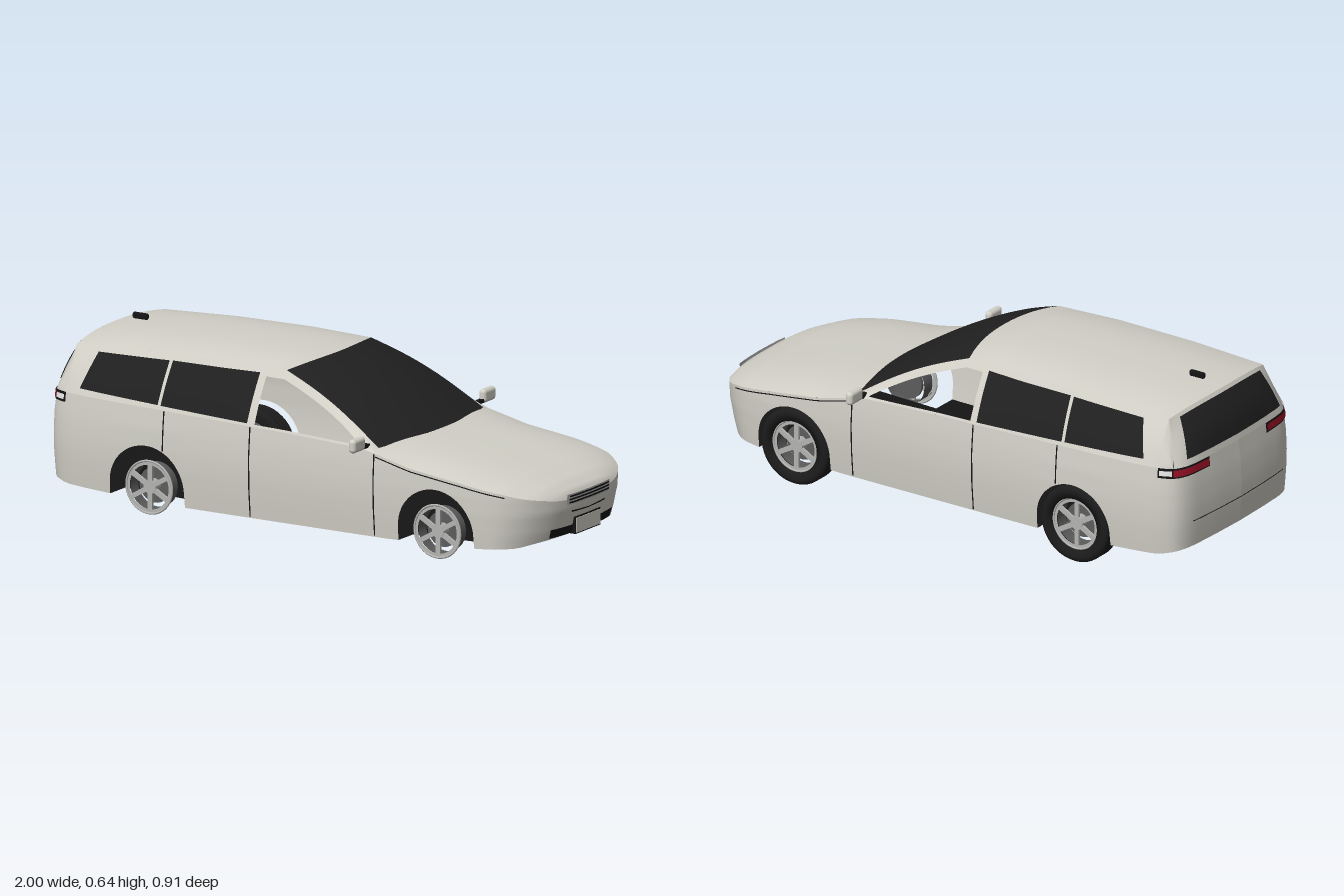
import * as THREE from 'three';
import { RoundedBoxGeometry } from 'three/addons/geometries/RoundedBoxGeometry.js';

const mat = (name, color) => new THREE.MeshStandardMaterial({ name, color, side: THREE.DoubleSide });

// piecewise-linear lookup in rows sorted by their first column
function tab(rows, x, c = 1) {
  if (x <= rows[0][0]) return rows[0][c];
  for (let i = 1; i < rows.length; i++) {
    const [p, q] = [rows[i - 1], rows[i]];
    if (x <= q[0]) return p[c] + (q[c] - p[c]) * (x - p[0]) / (q[0] - p[0]);
  }
  return rows[rows.length - 1][c];
}
const lerp = THREE.MathUtils.lerp;

// half plan outline from nose centre to tail centre
const outline = new THREE.CatmullRomCurve3([
  [.99, 0], [.984, .12], [.965, .21], [.92, .29], [.85, .345], [.75, .37], [.5, .376], [0, .379], [-.5, .379],
  [-.8, .374], [-.9, .362], [-.955, .335], [-.98, .29], [-.993, .18], [-1, 0],
].map(([x, z]) => new THREE.Vector3(x, 0, z)));
outline.arcLengthDivisions = 800;

const BELT = [[-1, .43], [-.955, .43], [-.5, .42], [0, .408], [.3, .395], [.36, .383], [.5, .35], [.7, .325], [.85, .3], [.95, .27], [.99, .25]];
const CROWN = [[.3, .41], [.36, .41], [.5, .385], [.7, .355], [.85, .327], [.93, .303], [.97, .28], [.99, .25]];
const SILL = [[-1, .13], [-.9, .11], [-.7, .1], [-.4, .09], [.4, .09], [.75, .1], [.9, .105], [.99, .125]];
const INSET = [[.09, .012], [.15, .006], [.22, .001], [.28, 0], [.35, .003], [.43, .012]];
const AXLES = [.6, -.56], ARCH = .15, HUB = .14;

// point on the lower body wall, pushed out by off
function wall(u, y, off = 0) {
  const p = outline.getPointAt(u), t = outline.getTangentAt(u);
  const d = off - tab(INSET, y) * (1 + 2 * THREE.MathUtils.smoothstep(p.x, .8, .98));
  const z = u <= 0 || u >= 1 ? 0 : Math.max(0, p.z - t.x * d);
  return [p.x + t.z * d, y, z];
}
function find(g, a, b) {
  for (let i = 0; i < 30; i++) { const m = (a + b) / 2; if (g(m) < 0) a = m; else b = m; }
  return (a + b) / 2;
}
const uAt = x => find(u => x - outline.getPointAt(u).x, 0, 1);
const uNose = z => find(u => outline.getPointAt(u).z - z, 0, .15);
const uTail = z => find(u => z - outline.getPointAt(u).z, .85, 1);
const xAt = u => outline.getPointAt(u).x;
const inArch = x => AXLES.find(c => Math.abs(x - c) <= ARCH + 1e-4);
function lower(x) {
  const c = inArch(x);
  return c === undefined ? tab(SILL, x) : HUB + Math.sqrt(Math.max(0, ARCH * ARCH - (x - c) ** 2));
}

export function createModel() {
  const car = new THREE.Group();
  car.name = 'car';
  const paint = mat('body paint', 0xd2d0c7), glass = mat('dark glass', 0x202020), black = mat('black trim', 0x141414);
  const rubber = mat('tyre rubber', 0x1c1c1c), alloy = mat('alloy', 0xb4b4b2), steel = mat('brake steel', 0x5c5c5c);
  const red = mat('tail lamp red', 0x9c1226), white = mat('lamp white', 0xeeeeee);

  const add = (name, geo, m, x = 0, y = 0, z = 0, parent = car) => {
    const mesh = new THREE.Mesh(geo, m);
    mesh.name = name;
    mesh.position.set(x, y, z);
    parent.add(mesh);
    return mesh;
  };
  // smooth sheet from a rule of two parameters
  function sheet(name, m, nu, nv, fn) {
    const pos = [], idx = [];
    for (let i = 0; i <= nu; i++) for (let j = 0; j <= nv; j++) pos.push(...fn(i / nu, j / nv));
    for (let i = 0; i < nu; i++) for (let j = 0; j < nv; j++) {
      const a = i * (nv + 1) + j, b = a + nv + 1;
      idx.push(a, a + 1, b, b, a + 1, b + 1);
    }
    const g = new THREE.BufferGeometry();
    g.setAttribute('position', new THREE.Float32BufferAttribute(pos, 3));
    g.setIndex(idx);
    g.computeVertexNormals();
    return add(name, g, m);
  }
  const pair = (name, m, nu, nv, fn) => [['left', -1], ['right', 1]].forEach(([side, s]) =>
    sheet(name + ' ' + side, m, nu, nv, (a, b) => { const p = fn(a, b); return [p[0], p[1], p[2] * s]; }));
  const patch = (name, m, u0, u1, lo, hi, off = .003, n = 16) => pair(name, m, n, 3, (a, b) => {
    const u = lerp(u0, u1, a), x = xAt(u);
    return wall(u, lerp(lo(x), hi(x), b), off);
  });

  // lower body wall with wheel arches
  const us = Array.from({ length: 111 }, (_, i) => i / 110);
  for (const c of AXLES) {
    for (let k = 0; k <= 28; k++) us.push(uAt(c + ARCH * Math.cos(Math.PI * k / 28)));
    us.push(uAt(c + ARCH + .001), uAt(c - ARCH - .001));
  }
  us.sort((a, b) => a - b);
  const N = us.length - 1;
  pair('body side', paint, N, 12, (a, b) => {
    const u = us[Math.round(a * N)], x = xAt(u);
    return wall(u, lerp(lower(x), tab(BELT, x), b));
  });

  // floor, narrowed between the wheels
  sheet('floor', black, N, 2, (a, b) => {
    const u = us[Math.round(a * N)], x = xAt(u), p = wall(u, tab(SILL, x));
    return [p[0], p[1], (inArch(x) === undefined ? p[2] : .27) * (b * 2 - 1)];
  });
  add('under tray', new THREE.BoxGeometry(.8, .008, .42), black, .02, .088, 0);

  // hood
  const uHood = uAt(.3);
  sheet('hood', paint, 50, 28, (a, b) => {
    const u = uHood * a, t = b * 2 - 1, x = xAt(u), p = wall(u, tab(BELT, x));
    return [p[0], p[1] + (tab(CROWN, x) - p[1]) * (1 - Math.abs(t) ** 3.5), p[2] * t];
  });

  // upper edge of the cabin side: x, y, z
  const uC = uAt(-.955), C = wall(uC, tab(BELT, -.955));
  const pillar = s => [-.06 + .41 * s, .6 - .205 * s + .02 * Math.sin(Math.PI * s), .27 + .065 * s];
  const EDGE = [C, [-.895, .585, .282], [-.6, .599, .284], [-.3, .603, .283],
    ...Array.from({ length: 13 }, (_, i) => pillar(i / 12))];
  const cabin = (x, y, off = 0) => {
    const base = wall(uAt(x), tab(BELT, x)), top = tab(EDGE, x);
    const f = THREE.MathUtils.clamp((y - base[1]) / Math.max(.001, top - base[1]), 0, 1);
    return [x, y, lerp(base[2], tab(EDGE, x, 2), f) + .006 * Math.sin(Math.PI * f) + off];
  };
  const belt = x => tab(BELT, x), edge = x => tab(EDGE, x);
  const winLow = x => belt(x) + .008, winTop = x => Math.max(winLow(x), Math.min(.582, edge(x) - .028));
  const side = (name, x0, x1, lo, hi, n) => pair(name, paint, n, 8, (a, b) => {
    const x = lerp(x0, x1, a);
    return cabin(x, lerp(lo(x), hi(x), b));
  });
  side('cabin side rear', C[0], -.895, belt, edge, 6);
  side('cabin side', -.895, -.13, belt, edge, 30);
  side('front window sill', -.13, .29, belt, winLow, 24);
  side('front pillar', -.13, .29, winTop, edge, 36);
  side('pillar foot', .29, .35, belt, edge, 6);

  // side windows, corners: bottom rear, bottom front, top rear, top front
  const panes = { 'rear door window': [[-.508, .435], [-.158, .421], [-.5, .581], [-.155, .584]],
    'quarter window': [[-.84, .45], [-.52, .436], [-.8, .572], [-.513, .58]] };
  for (const [name, [a, b, c, d]] of Object.entries(panes)) pair(name, glass, 14, 8, (u, v) =>
    cabin(lerp(lerp(a[0], b[0], u), lerp(c[0], d[0], u), v), lerp(lerp(a[1], b[1], u), lerp(c[1], d[1], u), v), .004));

  // roof
  const RIDGE = [[0, .604], [.06, .612], [.22, .623], [.65, .633], [.9, .63], [1, .617]];
  const roof = (s, t) => {
    const xe = lerp(-.895, -.06, s), ye = edge(xe);
    const x = lerp(-.915 + .02 * t * t, -.015 - .045 * t * t, s);
    return [x, ye + (tab(RIDGE, s) - ye) * (1 - Math.abs(t) ** 2.6), t * tab(EDGE, xe, 2)];
  };
  sheet('roof', paint, 40, 28, (a, b) => roof(a, b * 2 - 1));

  // windscreen
  sheet('windscreen', glass, 20, 24, (a, b) => {
    const t = b * 2 - 1, p = roof(1, t), bulge = .02 * Math.sin(Math.PI * a);
    return [lerp(p[0], .4 - .05 * t * t, a), lerp(p[1], .404 - .009 * t * t, a) + bulge, lerp(p[2], .335 * t, a)];
  });

  // upper tailgate and rear window
  const tail = (s, t, off = 0) => {
    const q = wall(lerp(1, uC, Math.abs(t)), .43), p = roof(0, t), k = .012 * Math.sin(Math.PI * s) * (1 - t ** 4) + off;
    return [lerp(q[0], p[0], s) - k, lerp(q[1], p[1], s) + k * .4, lerp(q[2] * Math.sign(t), p[2], s)];
  };
  sheet('upper tailgate', paint, 12, 24, (a, b) => tail(a, b * 2 - 1));
  sheet('rear window', glass, 10, 20, (a, b) => tail(lerp(.12, .93, a), (b * 2 - 1) * .84, .004));

  // tail lamps
  const y = v => () => v;
  patch('tail lamp frame', black, uAt(-.9), uTail(.17), y(.394), y(.429), .002);
  patch('tail lamp', red, uAt(-.952), uTail(.175), y(.4), y(.424), .005);
  patch('tail lamp tip', white, uAt(-.906), uAt(-.948), y(.403), y(.421), .005);

  // panel seams
  for (const [x, lo, hi] of [[-.492, .28, .42], [-.145, .095, .41], [.355, .095, .382]])
    patch('door seam', black, uAt(x + .0025), uAt(x - .0025), y(lo), y(hi), .002, 1);
  patch('hood seam', black, uAt(.86), uAt(.36), x => belt(x) - .012, x => belt(x) - .008, .002, 24);
  patch('rear bumper seam', black, uTail(.27), 1, y(.222), y(.225), .002);

  // nose details
  patch('grille surround', alloy, 0, uNose(.135), y(.234), y(.272), .003);
  for (const h of [.243, .254, .265]) patch('grille slot', black, 0, uNose(.125), y(h - .003), y(h + .003), .006);
  patch('grille chin', black, 0, uNose(.105), x => lerp(.216, .202, (x - .975) / .015), x => lerp(.229, .206, (x - .975) / .015), .003);
  patch('lower intake', black, 0, uNose(.2), y(.126), y(.157), .003);
  add('plate frame', new THREE.BoxGeometry(.03, .06, .16), black, .968, .153, 0);
  add('number plate', new THREE.BoxGeometry(.008, .052, .152), paint, .981, .153, 0);

  // mirrors and roof aerial
  for (const s of [1, -1]) {
    add('mirror', new RoundedBoxGeometry(.028, .048, .076, 4, .013), paint, .315, .419, s * .418);
    add('mirror stalk', new THREE.BoxGeometry(.018, .012, .05), black, .315, .404, s * .375);
  }
  const fin = new RoundedBoxGeometry(.06, .022, .016, 2, .006);
  fin.translate(0, .008, 0);
  add('roof aerial', fin, black, -.818, .624, 0);

  // wheels: rims all round, tyres on the left side only
  const tyrePts = [[.094, -.036], [.12, -.042], [.133, -.038], [.139, -.028], [.139, -.014], [.133, -.012], [.133, -.009],
    [.139, -.007], [.139, .007], [.133, .009], [.133, .012], [.139, .014], [.139, .028], [.133, .038], [.12, .042], [.094, .036], [.094, -.036]];
  const drum = (r, h, open) => new THREE.CylinderGeometry(r, r, h, 40, 1, open).rotateX(Math.PI / 2);
  for (const x of AXLES) for (const s of [1, -1]) {
    const wheel = new THREE.Group();
    wheel.name = 'wheel';
    wheel.position.set(x, HUB, s * .33);
    wheel.rotation.y = s > 0 ? 0 : Math.PI;
    car.add(wheel);
    add('rim barrel', drum(.08, .05, true), steel, 0, 0, -.005, wheel);
    add('rim lip', new THREE.RingGeometry(.078, .095, 40), alloy, 0, 0, .026, wheel);
    add('rim edge', new THREE.TorusGeometry(.092, .004, 8, 40), alloy, 0, 0, .026, wheel);
    add('brake disc', drum(.062, .01, false), steel, 0, 0, -.015, wheel);
    add('hub', drum(.024, .04, false), alloy, 0, 0, .004, wheel);
    for (let k = 0; k < 6; k++) {
      const spoke = new THREE.BoxGeometry(.07, .017, .01).translate(.048, 0, 0).rotateZ(k * Math.PI / 3 + Math.PI / 6);
      add('spoke', spoke, alloy, 0, 0, .018, wheel);
    }
    if (s < 0) add('tyre', new THREE.LatheGeometry(tyrePts.map(p => new THREE.Vector2(...p)), 48).rotateX(Math.PI / 2), rubber, 0, 0, 0, wheel);
  }
  return car;
}
